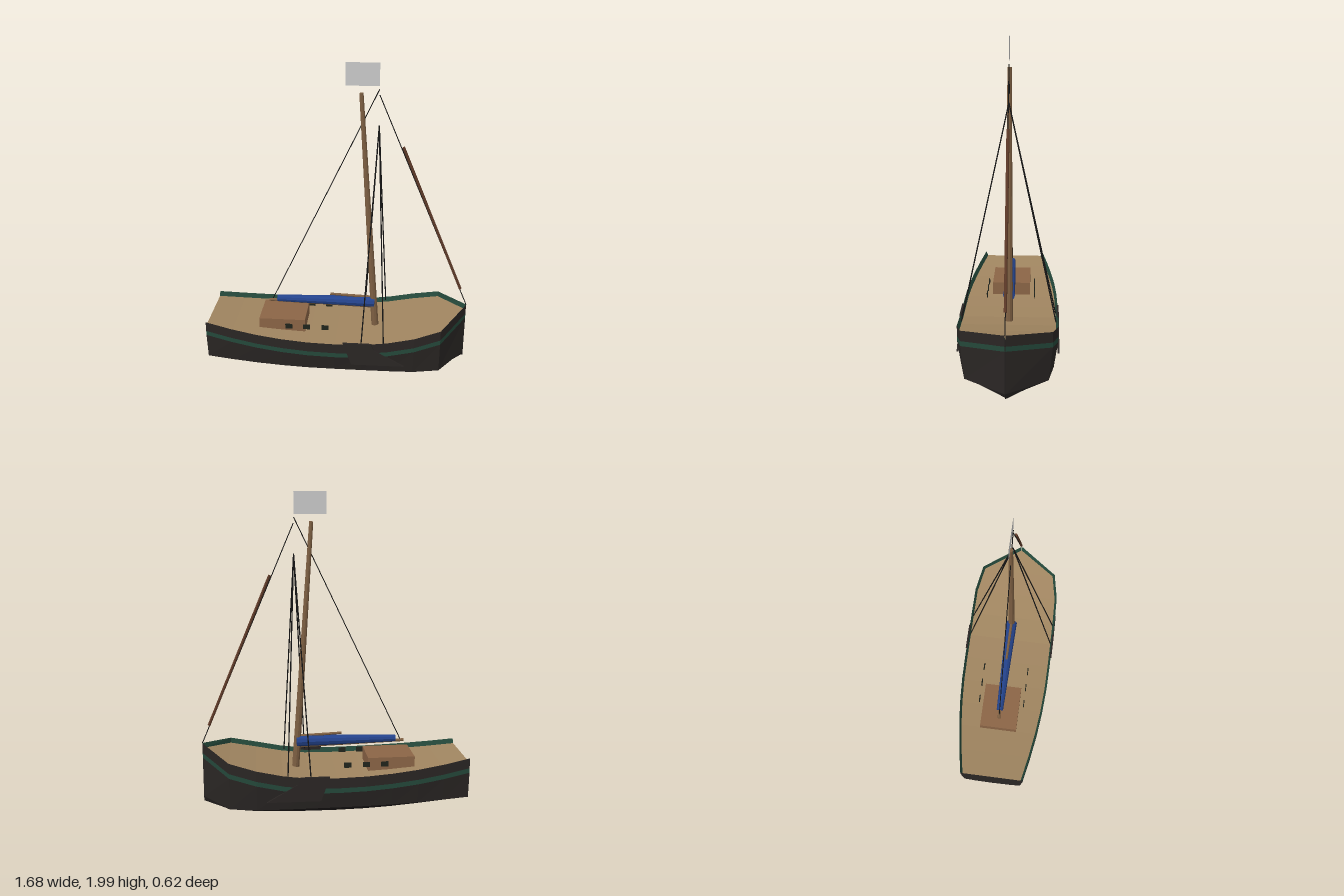
import * as THREE from 'three';

const V = (x, y, z = 0) => new THREE.Vector3(x, y, z);

function mat(color, flat = true) {
  return new THREE.MeshStandardMaterial({ color, flatShading: flat, side: THREE.DoubleSide });
}

const BLACK = mat(0x2a2624), KEEL = mat(0x1e1b1a), GREEN = mat(0x24483a), DECK = mat(0xa08560);
const CABIN = mat(0x8b6546), SPAR = mat(0x7d5f42), BLUE = mat(0x24438c), JIB = mat(0x5e3a28);
const ROPE = mat(0x141414), WINDOW = mat(0x20241c), FLAG = mat(0xcccccc);

// Hull stations: x, half beam, sheer height, keel height
const STATIONS = [
  [-0.84, 0.212, 0.35, 0.055], [-0.67, 0.245, 0.327, 0.04], [-0.5, 0.272, 0.309, 0.027],
  [-0.335, 0.291, 0.297, 0.016], [-0.17, 0.302, 0.289, 0.009], [0, 0.305, 0.286, 0.006],
  [0.17, 0.305, 0.289, 0.008], [0.335, 0.304, 0.31, 0.014], [0.5, 0.299, 0.345, 0.024],
  [0.665, 0.264, 0.388, 0.04], [0.835, 0.003, 0.44, 0.058],
];
const CHINE = 0.088, DROP = 0.03, LEAN = 0.014;

// Skin between neighbouring rows of points
function loft(name, rows, material) {
  const n = rows[0].length, index = [];
  for (let i = 0; i < rows.length - 1; i++) {
    for (let j = 0; j < n - 1; j++) {
      const a = i * n + j, b = a + n, c = a + 1, d = b + 1;
      index.push(a, c, b, b, c, d);
    }
  }
  const geo = new THREE.BufferGeometry().setFromPoints(rows.flat());
  geo.setIndex(index);
  geo.computeVertexNormals();
  const mesh = new THREE.Mesh(geo, material);
  mesh.name = name;
  return mesh;
}

// Round bar between two points, r1 at the start and r2 at the end
function bar(name, from, to, r1, r2, material, sides = 8) {
  const dir = to.clone().sub(from);
  const mesh = new THREE.Mesh(new THREE.CylinderGeometry(r2, r1, dir.length(), sides), material);
  mesh.position.copy(from).addScaledVector(dir, 0.5);
  mesh.quaternion.setFromUnitVectors(V(0, 1, 0), dir.normalize());
  mesh.name = name;
  return mesh;
}

function box(name, w, h, d, pos, material) {
  const mesh = new THREE.Mesh(new THREE.BoxGeometry(w, h, d), material);
  mesh.position.copy(pos);
  mesh.name = name;
  return mesh;
}

// Half section of a station, from the sheer down to the keel
function section([x, b, top, keel], s) {
  return [
    V(x, top, s * b), V(x, top - 0.065, s * b), V(x, top - 0.095, s * b), V(x, CHINE, s * b * 0.92),
    V(x, keel + (CHINE - keel) * 0.35, s * b * 0.62), V(x, keel, 0),
  ];
}

// Deck edge, just inside and below the sheer
function deckEdge([x, b, top], s) {
  return V(x > 0.8 ? x - 0.015 : x, top - DROP, s * Math.max(b - LEAN, 0.001));
}

function buildHull() {
  const hull = new THREE.Group();
  hull.name = 'hull';
  const bands = [
    ['upperStrake', 0, 1, BLACK], ['stripe', 1, 2, GREEN], ['topside', 2, 3, BLACK], ['bottom', 3, 5, KEEL],
  ];
  for (const s of [1, -1]) {
    const order = (pts) => (s > 0 ? pts : pts.reverse());
    for (const [name, a, b, material] of bands) {
      hull.add(loft(name, STATIONS.map((st) => order(section(st, s).slice(a, b + 1))), material));
    }
    hull.add(loft('innerBulwark',
      STATIONS.map((st) => order([deckEdge(st, s), V(st[0], st[2], s * st[1])])), GREEN));
  }
  hull.add(loft('deck', STATIONS.map((st) => [deckEdge(st, -1), deckEdge(st, 1)]), DECK));

  // Transom, closed up to deck level
  const stern = [-1, 1].map((s) => {
    const pts = section(STATIONS[0], s);
    pts[0].y -= DROP;
    return pts;
  });
  hull.add(loft('transom', stern, BLACK));
  return hull;
}

// Leeboard hung on each side
function buildLeeboard(s) {
  const shape = new THREE.Shape([
    [0.055, 0.298], [0.11, 0.145], [0.44, 0.147], [0.25, 0.255], [0.235, 0.298],
  ].map(([x, y]) => new THREE.Vector2(x, y)));
  const geo = new THREE.ExtrudeGeometry(shape, { depth: 0.012, bevelEnabled: false });
  const mesh = new THREE.Mesh(geo, BLACK);
  mesh.position.z = s > 0 ? 0.298 : -0.31;
  mesh.name = 'leeboard';
  return mesh;
}

export function createModel() {
  const boat = new THREE.Group();
  boat.name = 'sailingBarge';
  boat.add(buildHull());

  // Cabin
  boat.add(box('cabin', 0.3, 0.085, 0.25, V(-0.355, 0.303, 0), CABIN));

  // Mast, boom, gaff and furled sails
  boat.add(bar('mast', V(0.247, 0.26), V(0.138, 1.82), 0.024, 0.013, SPAR, 10));
  boat.add(bar('boom', V(-0.455, 0.42), V(0.235, 0.402), 0.01, 0.012, SPAR));
  boat.add(bar('furledMainsail', V(-0.4, 0.434), V(0.24, 0.436), 0.022, 0.037, BLUE, 10));
  boat.add(bar('gaff', V(-0.05, 0.48), V(0.225, 0.468), 0.008, 0.01, SPAR));
  boat.add(bar('furledJib', V(0.79, 0.555), V(0.395, 1.495), 0.009, 0.009, JIB));

  // Standing rigging
  boat.add(bar('backstay', V(-0.43, 0.43), V(0.245, 1.845), 0.003, 0.003, ROPE, 5));
  boat.add(bar('forestay', V(0.835, 0.44), V(0.247, 1.81), 0.003, 0.003, ROPE, 5));

  for (const s of [1, -1]) {
    boat.add(buildLeeboard(s));
    for (const x of [0.17, 0.31]) {
      boat.add(bar('shroud', V(x, 0.29, s * 0.29), V(0.247, 1.625), 0.004, 0.004, ROPE, 5));
    }
    for (const x of [-0.307, -0.19, -0.072]) {
      boat.add(box('window', 0.045, 0.032, 0.006, V(x, 0.314, s * 0.155), WINDOW));
    }
  }

  // Flag
  const flag = new THREE.Mesh(new THREE.PlaneGeometry(0.2, 0.137), FLAG);
  flag.position.set(0.145, 1.9315, 0);
  flag.name = 'flag';
  boat.add(flag);
  return boat;
}
